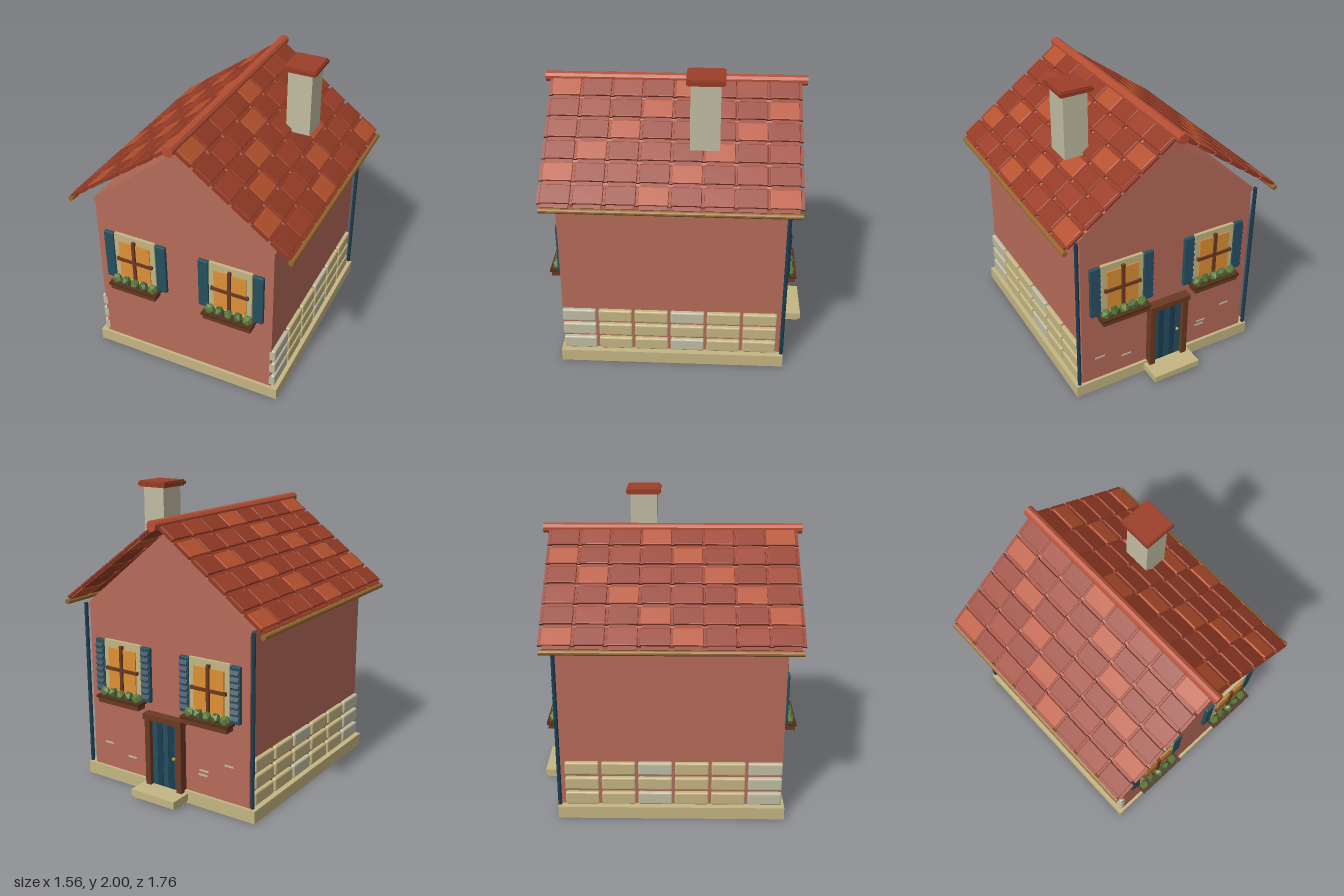
import * as THREE from 'three';
import { RoundedBoxGeometry } from 'three/addons/geometries/RoundedBoxGeometry.js';

const mats = {};
const mat = (color) => (mats[color] ??= new THREE.MeshStandardMaterial({ color, flatShading: true }));

const C = {
  wall: 0xb56b59, stone: 0xc4b583, paleStone: 0xc0bca2, tile: 0x933a25, tileMid: 0x9c3f29,
  tileBright: 0xb6512f, ridge: 0xb64e33, gutter: 0x96682f, blue: 0x24505f, darkBlue: 0x1c3c50,
  wood: 0x6b3a22, darkWood: 0x55301c, glass: 0xdd9035, green: 0x5c7a3a, darkGreen: 0x48662f, brass: 0xb89a4a,
};

function add(parent, name, geometry, color, x = 0, y = 0, z = 0) {
  const mesh = new THREE.Mesh(geometry, mat(color));
  mesh.name = name;
  mesh.position.set(x, y, z);
  parent.add(mesh);
  return mesh;
}

// Box given by its limits on each axis; r > 0 softens the edges
function box(parent, name, color, [x0, x1], [y0, y1], [z0, z1], r = 0) {
  const size = [x1 - x0, y1 - y0, z1 - z0];
  const g = r ? new RoundedBoxGeometry(...size, 1, r) : new THREE.BoxGeometry(...size);
  return add(parent, name, g, color, (x0 + x1) / 2, (y0 + y1) / 2, (z0 + z1) / 2);
}

function makeGroup(parent, name, x = 0, y = 0, z = 0) {
  const g = new THREE.Group();
  g.name = name;
  g.position.set(x, y, z);
  parent.add(g);
  return g;
}

// Window with shutters and flower box; the wall surface is z = 0
function addWindow(parent, x, slats) {
  const w = makeGroup(parent, 'window', x);
  box(w, 'windowFrame', C.stone, [-0.15, 0.15], [0.62, 1.005], [-0.01, 0.022]);
  box(w, 'windowGlass', C.glass, [-0.113, 0.113], [0.665, 0.955], [0.0, 0.03]);
  box(w, 'verticalBar', C.wood, [-0.011, 0.011], [0.65, 0.98], [0.02, 0.042]);
  box(w, 'crossBar', C.wood, [-0.132, 0.132], [0.803, 0.825], [0.02, 0.04]);
  for (const s of [-1, 1]) {
    const shutter = makeGroup(w, 'shutter', s * 0.191);
    box(shutter, 'shutterPanel', C.blue, [-0.036, 0.036], [0.63, 1.0], [-0.004, 0.025], 0.006);
    for (let i = 0; slats && i < 8; i++) {
      const slat = add(shutter, 'shutterSlat', new THREE.BoxGeometry(0.06, 0.03, 0.008), C.darkBlue,
        0, 0.668 + i * 0.042, 0.029);
      slat.rotation.x = -0.6;
    }
  }
  box(w, 'flowerBox', C.wood, [-0.168, 0.168], [0.58, 0.615], [0.008, 0.082]);
  box(w, 'flowerBoxRim', C.darkWood, [-0.178, 0.178], [0.612, 0.63], [0.003, 0.09]);
  for (let i = 0; i < 5; i++) {
    const plant = add(w, 'plant', new THREE.IcosahedronGeometry(0.037, 0), i % 2 ? C.darkGreen : C.green,
      (i - 2) * 0.067, 0.647, 0.047);
    plant.scale.set(1, 1.1, 0.85);
    plant.rotation.y = i * 0.9;
  }
}

function addDoor(parent) {
  const d = makeGroup(parent, 'door');
  for (let i = 0; i < 5; i++) {
    const x = (i - 2) * 0.043;
    box(d, 'doorPlank', i % 2 ? C.darkBlue : C.blue, [x - 0.02, x + 0.02], [0.07, 0.53], [-0.01, 0.025]);
  }
  box(d, 'doorBacking', C.darkBlue, [-0.11, 0.11], [0.07, 0.53], [-0.01, 0.018]);
  for (const s of [-1, 1])
    box(d, 'doorPost', C.wood, [s * 0.125 - 0.02, s * 0.125 + 0.02], [0.06, 0.54], [-0.01, 0.055]);
  box(d, 'doorLintel', C.wood, [-0.152, 0.152], [0.53, 0.57], [-0.01, 0.066]);
  add(d, 'doorKnob', new THREE.SphereGeometry(0.012, 8, 6), C.brass, 0.075, 0.29, 0.037);
  box(d, 'doorStep', C.stone, [-0.173, 0.173], [0.025, 0.07], [0.0, 0.175]);
  box(d, 'doorStepBase', C.stone, [-0.165, 0.165], [0.01, 0.03], [0.0, 0.162]);
}

// One roof slope: six courses of eight tiles with ribs over the seams
function addSlope(parent, s) {
  const slope = makeGroup(parent, 'roofSlope');
  const tilt = -s * Math.atan(0.735);
  for (let i = 0; i < 6; i++) {
    const x = s * (0.69 - i * 0.124);
    const y = 1.81 - 0.735 * Math.abs(x);
    for (let j = 0; j <= 8; j++) {
      const z = -0.672 + j * 0.2015;
      const course = makeGroup(slope, 'roofTile', x, y, z);
      course.rotation.z = tilt;
      if (j < 8) {
        const k = (i + j) % 4;
        const color = k === 0 ? C.tileBright : k === 2 ? C.tileMid : C.tile;
        add(course, 'tilePlate', new RoundedBoxGeometry(0.125, 0.03, 0.188, 1, 0.005), color);
        add(course, 'tileLap', new THREE.BoxGeometry(0.154, 0.012, 0.17), C.tile, s * 0.012, -0.005, 0);
      }
      add(course, 'tileRib', new THREE.BoxGeometry(0.135, 0.014, 0.022), C.tile, 0, 0.003, -0.1008);
    }
  }
  // Gutter under the eaves
  const gutter = add(parent, 'gutter', new THREE.CylinderGeometry(0.018, 0.018, 1.615, 10), C.gutter,
    s * 0.763, 1.23, 0.03);
  gutter.rotation.x = Math.PI / 2;
}

export function createModel() {
  const house = new THREE.Group();
  house.name = 'cottage';

  // Plinth, walls and gable
  box(house, 'plinth', C.stone, [-0.68, 0.68], [0, 0.085], [-0.72, 0.78]);
  box(house, 'walls', C.wall, [-0.63, 0.63], [0.08, 1.225], [-0.7, 0.76]);
  const tri = new THREE.Shape([[-0.64, 1.205], [0.64, 1.205], [0.64, 1.23], [0, 1.745], [-0.64, 1.23]]
    .map(([x, y]) => new THREE.Vector2(x, y)));
  add(house, 'gable', new THREE.ExtrudeGeometry(tri, { depth: 1.464, bevelEnabled: false }), C.wall, 0, 0, -0.702);

  // Stone courses on both side walls
  const stones = makeGroup(house, 'stoneCourses');
  for (const s of [-1, 1])
    for (let row = 0; row < 3; row++)
      for (let col = 0; col < 6; col++) {
        const z = 0.648 - col * 0.241;
        const y = 0.137 + row * 0.111;
        const pale = col === 0 || (col === 3 && row !== 1);
        add(stones, 'sideStone', new RoundedBoxGeometry(0.05, 0.09, 0.225, 2, 0.012),
          pale ? C.paleStone : C.stone, s * 0.632, y, z);
      }
  // Few stones just breaking the surface of the door wall
  for (const [x, y] of [[0.5, 0.26], [0.3, 0.2], [-0.28, 0.22], [-0.29, 0.25], [-0.48, 0.33]])
    box(stones, 'buriedStone', C.paleStone, [x - 0.035, x + 0.035], [y - 0.006, y + 0.006], [-0.704, -0.69]);

  // Facades: same windows front and back, door at the back
  const front = makeGroup(house, 'frontFacade', 0, 0, 0.76);
  const back = makeGroup(house, 'backFacade', 0, 0, -0.7);
  back.rotation.y = Math.PI;
  for (const s of [-1, 1]) {
    addWindow(front, s * 0.345, false);
    addWindow(back, s * 0.345, true);
    add(house, 'drainpipe', new THREE.CylinderGeometry(0.013, 0.013, 1.13, 8), C.darkBlue, s * 0.657, 0.66, -0.708);
    addSlope(house, s);
  }
  addDoor(back);

  // Ridge
  const ridge = add(house, 'ridge', new THREE.CylinderGeometry(0.035, 0.035, 1.705, 10), C.ridge, 0, 1.807, 0.03);
  ridge.rotation.x = Math.PI / 2;

  // Chimney
  box(house, 'chimney', C.paleStone, [0.335, 0.5], [1.53, 1.965], [-0.265, -0.08]);
  box(house, 'chimneyCap', C.tile, [0.305, 0.53], [1.97, 1.99], [-0.292, -0.055]);
  box(house, 'chimneyCapCore', C.tileMid, [0.313, 0.522], [1.96, 2.0], [-0.284, -0.063]);
  return house;
}
